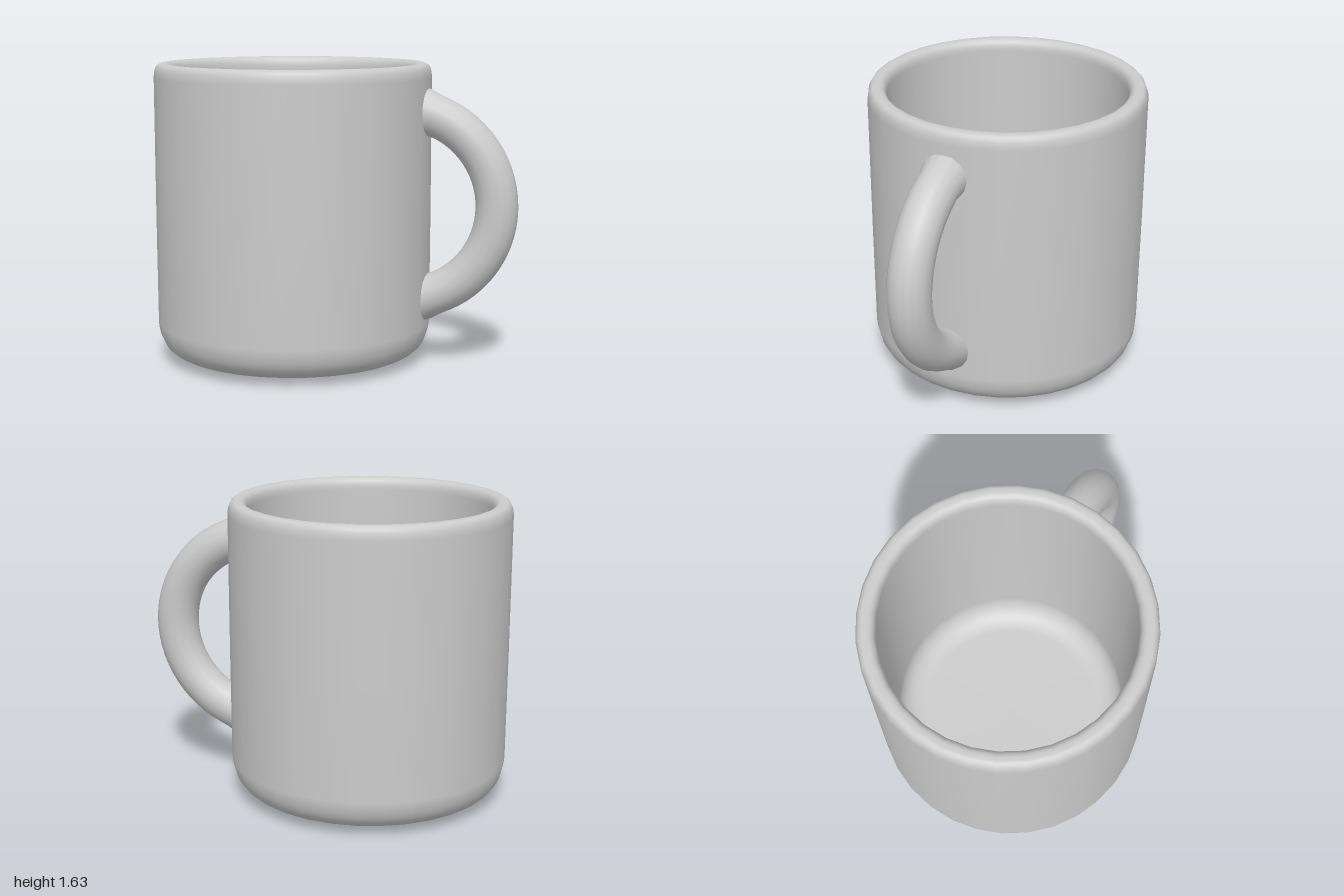
import * as THREE from 'three';

const material = new THREE.MeshStandardMaterial({ color: 0xcccccc, side: THREE.DoubleSide });

// Quarter-ellipse corner between two profile points, bulging towards the control point
function corner(from, control, to, steps = 6) {
  return new THREE.QuadraticBezierCurve(
    new THREE.Vector2(...from), new THREE.Vector2(...control), new THREE.Vector2(...to)
  ).getPoints(steps);
}

// Hollow cup: slightly domed base, rounded foot, rolled rim, inner wall and floor
function createCup() {
  const profile = [
    ...corner([0, 0], [0.4, 0.005], [0.58, 0.025], 5),
    ...corner([0.62, 0.032], [0.745, 0.055], [0.755, 0.21], 8),
    new THREE.Vector2(0.757, 0.8),
    ...corner([0.757, 1.56], [0.755, 1.635], [0.715, 1.635]),
    ...corner([0.695, 1.635], [0.655, 1.63], [0.655, 1.57]),
    new THREE.Vector2(0.655, 0.8),
    ...corner([0.65, 0.28], [0.645, 0.14], [0.5, 0.125], 8),
    new THREE.Vector2(0, 0.115),
  ];
  const cup = new THREE.Mesh(new THREE.LatheGeometry(profile, 32), material);
  cup.name = 'cup';
  cup.position.x = -0.245;
  return cup;
}

// Round handle: circular arc tube whose ends flare where they meet the cup
function createHandle() {
  const centre = new THREE.Vector2(0.367, 0.875);
  const arcRadius = 0.518, tubeRadius = 0.115, sweep = 1.4;
  const geometry = new THREE.TorusGeometry(arcRadius, tubeRadius, 16, 32, sweep * 2);
  geometry.rotateZ(-sweep);
  const p = geometry.attributes.position;
  for (let i = 0; i < p.count; i++) {
    const angle = Math.atan2(p.getY(i), p.getX(i));
    const cx = Math.cos(angle) * arcRadius, cy = Math.sin(angle) * arcRadius;
    const t = THREE.MathUtils.smoothstep(Math.abs(angle), 1.18, sweep);
    const flare = 1 + 0.18 * t;
    p.setXYZ(i, cx + (p.getX(i) - cx) * flare, cy + (p.getY(i) - cy) * flare, p.getZ(i) * flare);
  }
  const handle = new THREE.Mesh(geometry, material);
  handle.name = 'handle';
  handle.position.set(centre.x, centre.y, 0);
  return handle;
}

export function createModel() {
  const mug = new THREE.Group();
  mug.name = 'mug';
  mug.add(createCup(), createHandle());
  return mug;
}
